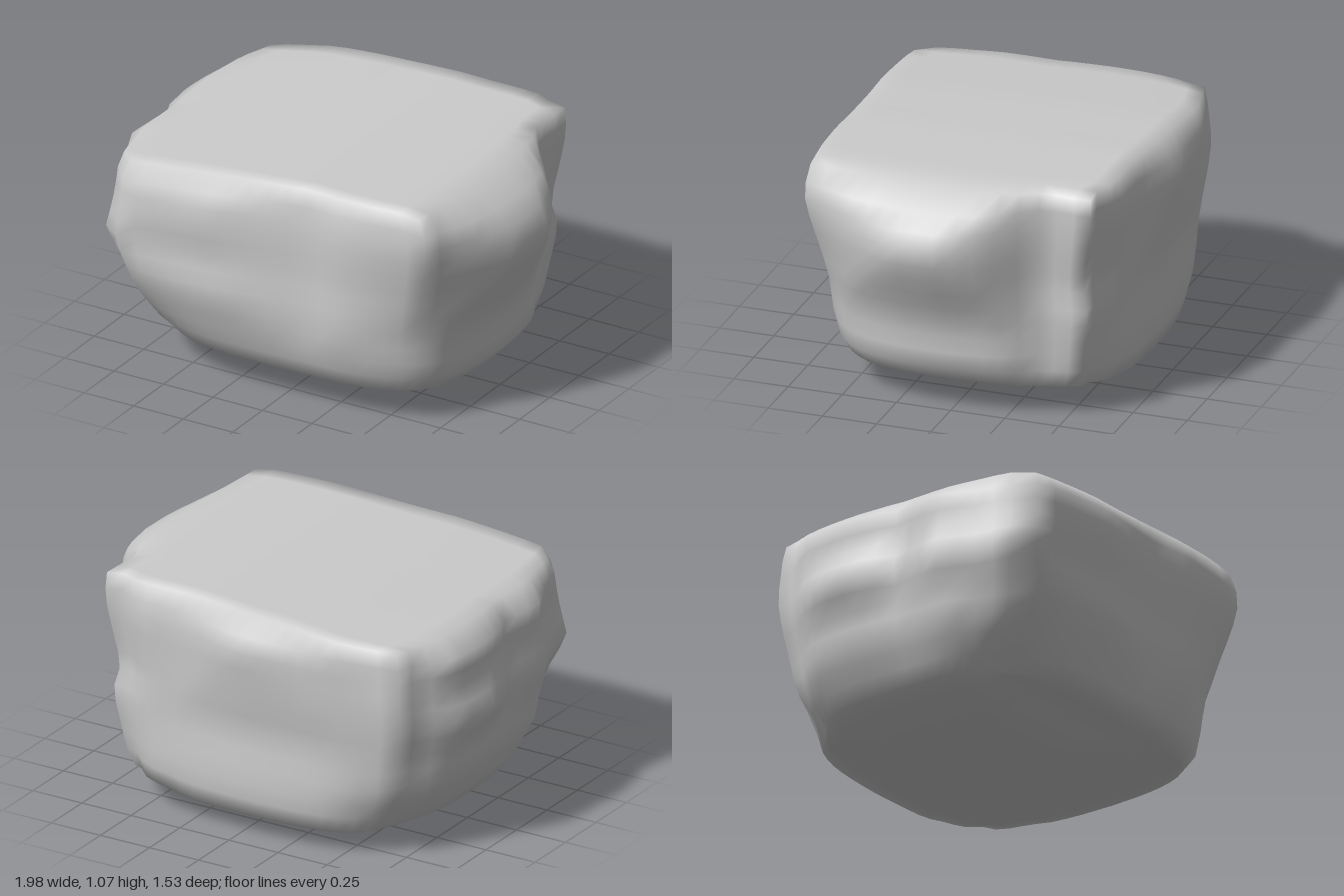
import * as THREE from 'three';
import { mergeVertices } from 'three/addons/utils/BufferGeometryUtils.js';

// Piecewise linear profile lookup, clamped at both ends.
function at(profile, t) {
  if (t <= profile[0][0]) return profile[0][1];
  for (let i = 1; i < profile.length; i++) {
    const [t0, v0] = profile[i - 1], [t1, v1] = profile[i];
    if (t <= t1) return v0 + (v1 - v0) * (t - t0) / (t1 - t0);
  }
  return profile[profile.length - 1][1];
}

// Reach of each side of the boulder by height, and by position along the side.
const right = {
  rim: 0.68, peak: 1,
  byY: [[0.13, 0.72], [0.22, 0.8], [0.4, 0.81], [0.5, 0.85], [0.65, 0.93], [0.81, 1], [0.96, 0.93], [1.03, 0.82], [1.07, 0.74]],
  along: [[-0.63, 0.71], [-0.45, 0.69], [-0.33, 0.79], [-0.2, 0.91], [0, 1], [0.2, 0.99], [0.4, 0.91], [0.67, 0.78]],
};
const left = {
  rim: 0.74, peak: 1,
  byY: [[0.14, 0.78], [0.25, 0.85], [0.35, 0.9], [0.5, 0.92], [0.64, 1], [0.78, 0.93], [0.94, 0.94], [1, 0.84]],
  along: [[-0.63, 0.8], [-0.4, 0.96], [-0.2, 1], [0, 0.95], [0.1, 0.9], [0.2, 0.93], [0.36, 0.94], [0.5, 0.87], [0.67, 0.83]],
};
const front = {
  rim: 0.6, peak: 0.775,
  byY: [[0.14, 0.61], [0.25, 0.67], [0.49, 0.76], [0.65, 0.74], [0.8, 0.775], [0.95, 0.77], [1.06, 0.69]],
  along: [[-0.83, 0.65], [-0.72, 0.765], [-0.28, 0.77], [0, 0.72], [0.2, 0.69], [0.4, 0.715], [0.78, 0.67]],
};
const back = {
  rim: 0.62, peak: 0.775,
  byY: [[0.1, 0.67], [0.22, 0.7], [0.5, 0.69], [0.64, 0.72], [0.95, 0.775], [1.06, 0.68]],
  along: [[-0.8, 0.63], [-0.45, 0.73], [-0.05, 0.775], [0.35, 0.7], [0.6, 0.7], [0.72, 0.63]],
};
const topByX = [[-0.85, 1], [-0.3, 1.05], [0.2, 1.075], [0.72, 1.075], [0.8, 1.06]];
const bottomByX = [[-0.8, 0.14], [-0.68, 0.08], [-0.5, 0.03], [-0.28, 0], [0, 0.03], [0.2, 0.08], [0.45, 0.12], [0.73, 0.14]];
const bottomByZ = [[-0.67, 0.1], [-0.5, 0.09], [-0.2, 0.02], [0, 0], [0.2, 0.01], [0.37, 0.04], [0.61, 0.15]];

// How far each upright corner is worn inward, by height.
const wear = {
  rightFront: [[0.14, 0.15], [0.45, 0.13], [0.75, 0.05], [0.93, 0]],
  rightBack: [[0.12, 0.13], [0.22, 0.09], [0.5, 0.03], [0.62, 0.07], [0.95, 0]],
  leftFront: [[0.1, 0.24], [0.38, 0.09], [0.5, 0.05], [0.63, -0.02], [0.85, 0.02], [1, 0.04]],
  leftBack: [[0.14, 0.18], [0.3, 0.07], [0.55, 0.02], [0.75, -0.01], [1, 0.02]],
};

// Bulge of a side: halfway between a hard limit and a soft swelling.
function reach(side, y, t) {
  const a = at(side.byY, y), b = at(side.along, t);
  const swell = side.rim + (a - side.rim) * (b - side.rim) / (side.peak - side.rim);
  return (Math.min(a, b) + swell) / 2;
}

export function createModel() {
  const stone = new THREE.MeshStandardMaterial({ color: 0xcccccc });
  stone.name = 'pale grey stone';

  // A subdivided block with shared corners, pushed out to the side profiles.
  let geometry = new THREE.BoxGeometry(2, 2, 2, 18, 12, 16);
  geometry.deleteAttribute('uv');
  geometry.deleteAttribute('normal');
  geometry = mergeVertices(geometry);
  const p = geometry.attributes.position;
  for (let i = 0; i < p.count; i++) {
    const u = p.getX(i), v = p.getY(i), w = p.getZ(i);
    const x0 = u * 0.82, z0 = w * 0.69;
    const low = Math.max(at(bottomByX, x0), at(bottomByZ, z0));
    const y = low + (at(topByX, x0) - low) * (v + 1) / 2;
    const corner = wear[(u > 0 ? 'right' : 'left') + (w > 0 ? 'Front' : 'Back')];
    const cut = 0.707 * at(corner, y) * Math.abs(u * w) ** 3;
    p.setXYZ(i,
      u * reach(u > 0 ? right : left, y, z0) - Math.sign(u) * cut,
      y,
      w * reach(w > 0 ? front : back, y, x0) - Math.sign(w) * cut);
  }
  geometry.computeVertexNormals();

  const boulder = new THREE.Mesh(geometry, stone);
  boulder.name = 'boulder';
  const group = new THREE.Group();
  group.name = 'rock';
  group.add(boulder);
  return group;
}
